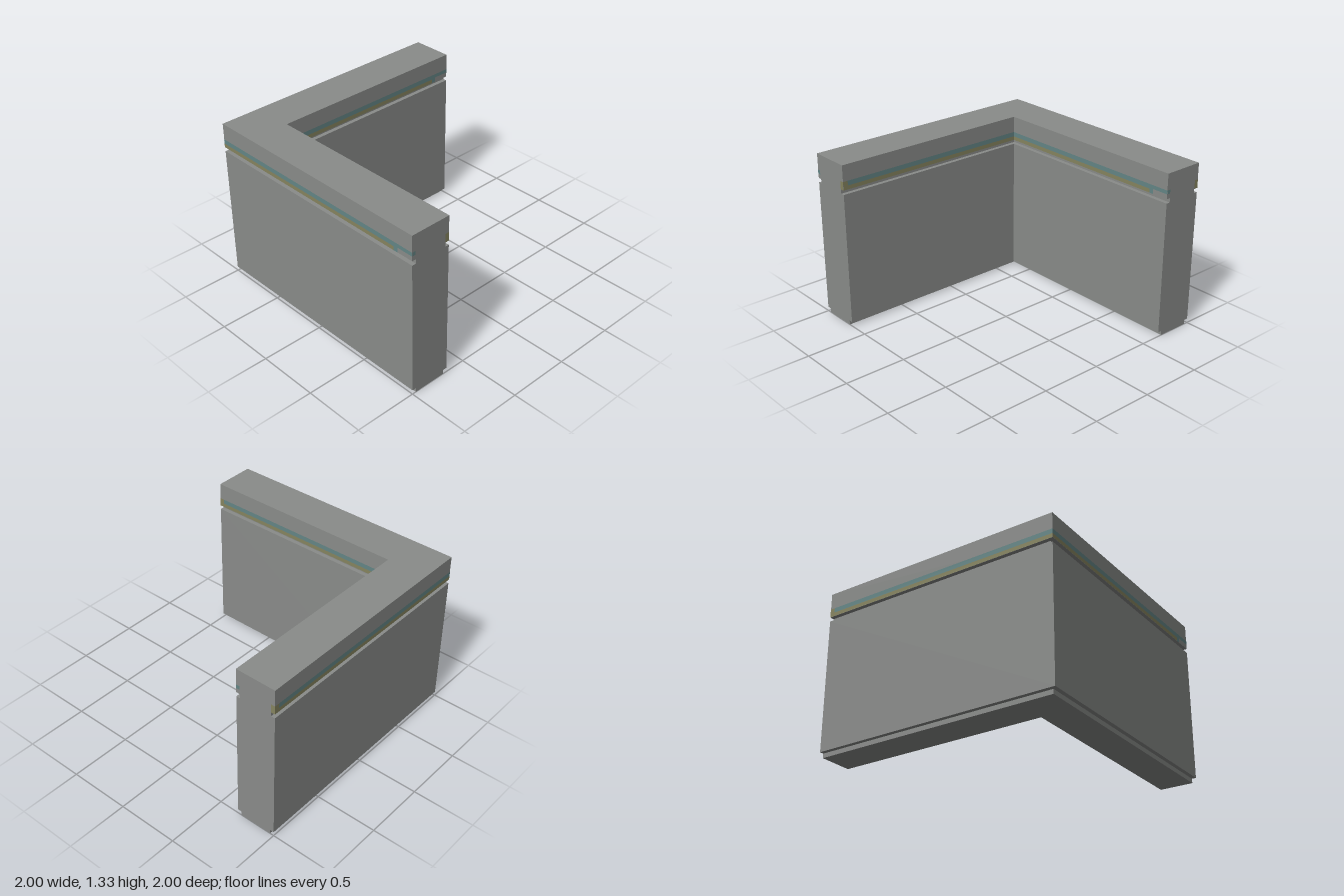
import * as THREE from 'three';

const T = -0.667;   // inner face of both walls
const IN = 0.033;   // groove depth

export function createModel() {
  const model = new THREE.Group();
  model.name = 'cornerWall';
  const mat = (name, color) => {
    const m = new THREE.MeshStandardMaterial({ color });
    m.name = name;
    return m;
  };
  const grey = mat('concrete grey', 0x8a8c8a);
  const teal = mat('muted teal', 0x648686);
  const yellow = mat('muted yellow', 0x86845f);

  // L-shaped layer of the wall, narrowed on its long faces by inset
  function layer(name, y0, y1, inset) {
    const o = -1 + inset, i = T - inset;
    const points = [[o, 1], [i, 1], [i, i], [1, i], [1, o], [o, o]];
    const shape = new THREE.Shape(points.map(([x, z]) => new THREE.Vector2(x, -z)));
    const geo = new THREE.ExtrudeGeometry(shape, { depth: y1 - y0, bevelEnabled: false });
    geo.rotateX(-Math.PI / 2);
    const mesh = new THREE.Mesh(geo, grey);
    mesh.name = name;
    mesh.position.y = y0;
    model.add(mesh);
  }
  layer('baseRecess', 0, 0.035, IN);
  layer('wallBody', 0.035, 1.1, 0);
  layer('upperGroove', 1.1, 1.135, IN);
  layer('wallCap', 1.135, 1.333, 0);

  // Group turned towards one wall face; local x runs along that face
  function face(name, turn, distance) {
    const g = new THREE.Group();
    g.name = name;
    g.rotation.y = turn * Math.PI / 2;
    model.add(g);
    return (material, u0, u1, y0, y1) => {
      const mesh = new THREE.Mesh(new THREE.PlaneGeometry(u1 - u0, y1 - y0), material);
      mesh.name = material === teal ? 'tealStripe' : 'yellowStripe';
      mesh.position.set((u0 + u1) / 2, (y0 + y1) / 2, distance + 0.0015);
      g.add(mesh);
    };
  }

  // Left end of a band: tall yellow block; right end: the yellow stops short
  function band(name, turn, distance, start, end, block, cut) {
    const add = face(name, turn, distance);
    const a = block ? start + 0.04 : start;
    const b = cut ? end - 0.17 : end;
    if (block) add(yellow, start, a, 1.135, 1.203);
    add(yellow, a, b, 1.135, 1.166);
    add(teal, a, b, 1.166, 1.203);
    if (cut) {
      add(teal, b, b + 0.035, 1.135, 1.203);
      add(teal, b + 0.035, end, 1.173, 1.203);
    }
  }
  band('innerBackBand', 0, T, T, 1, false, true);
  band('innerSideBand', 1, T, -1, -T, true, false);
  band('outerBackBand', 2, 1, -1, 1, true, false);
  band('outerSideBand', 3, 1, -1, 1, false, true);

  // Stripe returns on the two end faces
  const frontEnd = face('frontEndStripes', 0, 1);
  frontEnd(yellow, T - IN, T, 1.135, 1.203);
  frontEnd(teal, -1, -0.972, 1.173, 1.203);
  const sideEnd = face('sideEndStripes', 1, 1);
  sideEnd(teal, -T, -T + 0.03, 1.173, 1.203);
  sideEnd(yellow, 1 - IN, 1, 1.135, 1.203);

  return model;
}
